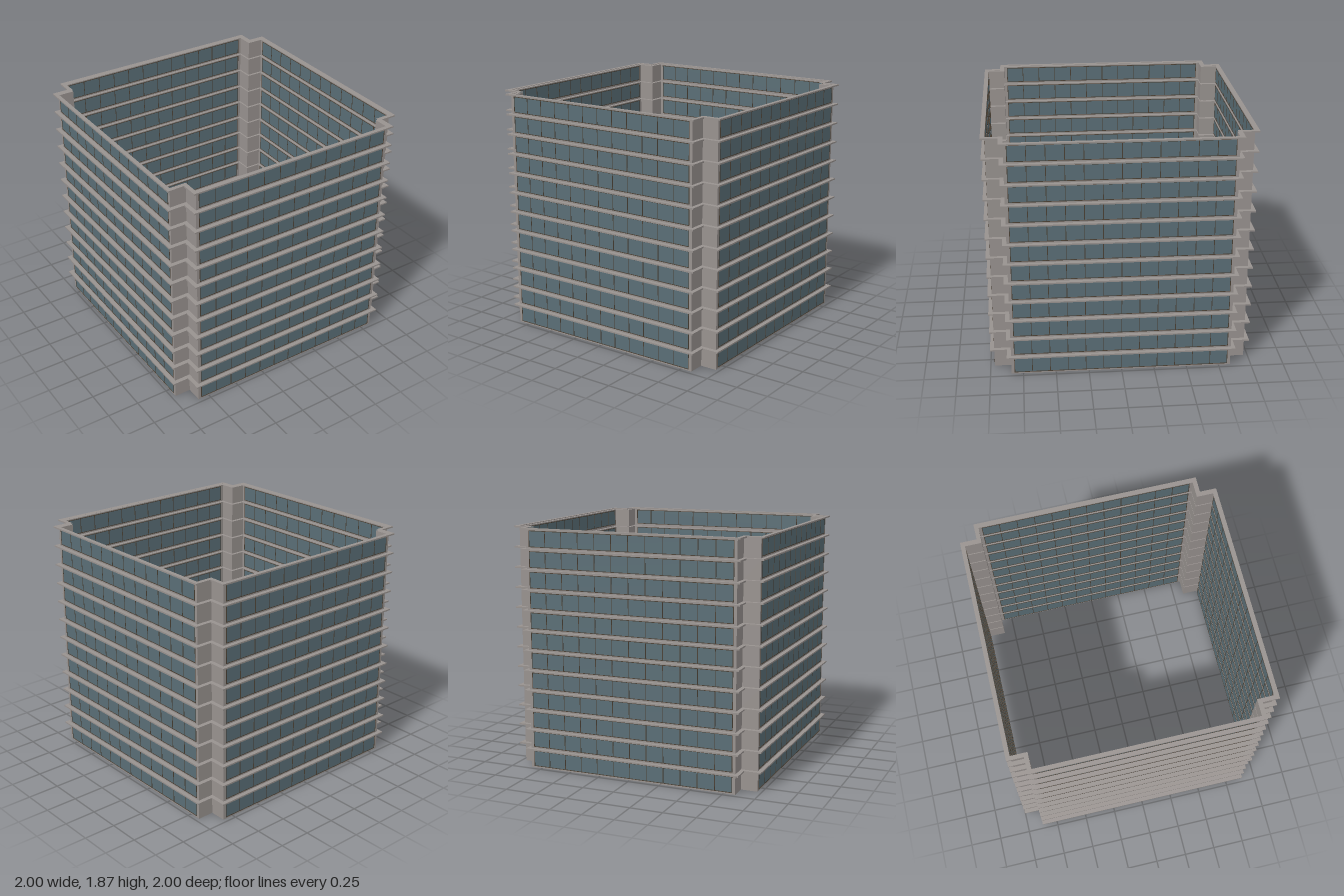
import * as THREE from 'three';

const FLOORS = 12, PITCH = 0.1555, LEDGE_H = 0.0115;
const FACE = 0.968, NOTCH = 0.84, OVERHANG = 0.032;
const WIN_X = 0.817, WIN_LOW = 0.011, WIN_HIGH = 0.136, PANES = 12;

const mat = (name, color) => new THREE.MeshStandardMaterial({ name, color, side: THREE.DoubleSide });

const rect = (Type, x0, y0, x1, y1) => new Type([
  new THREE.Vector2(x0, y0), new THREE.Vector2(x1, y0),
  new THREE.Vector2(x1, y1), new THREE.Vector2(x0, y1),
]);

// Square plan with a notched corner, grown outward by d
function outline(d) {
  const a = FACE + d, b = NOTCH + d, points = [];
  for (let i = 0; i < 4; i++) {
    for (const [x, z] of [[-b, a], [b, a], [b, b]]) {
      const p = new THREE.Vector2(x, z);
      for (let k = 0; k < i; k++) p.set(p.y, -p.x);
      points.push(p);
    }
  }
  return points;
}

// Skin through a list of [outward offset, height] rings
function sweepRings(rings) {
  const pos = [];
  for (let r = 0; r < rings.length - 1; r++) {
    const [d0, y0] = rings[r], [d1, y1] = rings[r + 1];
    const A = outline(d0), B = outline(d1);
    A.forEach((p, i) => {
      const j = (i + 1) % A.length;
      const a = [p.x, y0, p.y], b = [A[j].x, y0, A[j].y];
      const c = [B[j].x, y1, B[j].y], e = [B[i].x, y1, B[i].y];
      pos.push(...a, ...b, ...c, ...a, ...c, ...e);
    });
  }
  const g = new THREE.BufferGeometry();
  g.setAttribute('position', new THREE.Float32BufferAttribute(pos, 3));
  g.computeVertexNormals();
  return g;
}

export function createModel() {
  const wallMat = mat('warm grey wall', 0x98928f);
  const glassMat = mat('blue grey glass', 0x5a6e76);
  const frameMat = mat('dark brown frame', 0x4a4034);
  const wallTop = PITCH - LEDGE_H;

  // Facade panel with a long window opening
  const panel = rect(THREE.Shape, -NOTCH, 0, NOTCH, wallTop);
  panel.holes.push(rect(THREE.Path, -WIN_X, WIN_LOW, WIN_X, WIN_HIGH));
  const panelGeo = new THREE.ShapeGeometry(panel).translate(0, 0, FACE);

  // Window frame with one hole per pane
  const frame = rect(THREE.Shape, -WIN_X, WIN_LOW, WIN_X, WIN_HIGH);
  const step = 2 * WIN_X / PANES, bar = 0.0025;
  for (let i = 0; i < PANES; i++) {
    const x = -WIN_X + i * step;
    frame.holes.push(rect(THREE.Path, x + (i ? bar : 0.005), WIN_LOW + 0.005,
      x + step - (i < PANES - 1 ? bar : 0.005), WIN_HIGH - 0.005));
  }
  const frameGeo = new THREE.ExtrudeGeometry(frame, { depth: 0.004, bevelEnabled: false })
    .translate(0, 0, FACE - 0.002);

  const glassGeo = new THREE.PlaneGeometry(2 * WIN_X - 0.004, WIN_HIGH - WIN_LOW - 0.004)
    .translate(0, (WIN_LOW + WIN_HIGH) / 2, FACE);

  // Return wall of the corner notch
  const returnGeo = new THREE.PlaneGeometry(FACE - NOTCH, wallTop).rotateY(Math.PI / 2)
    .translate(NOTCH, wallTop / 2, (FACE + NOTCH) / 2);

  // Hollow ledge: underside, edge and top, open toward the inside
  const ledgeGeo = sweepRings([[0, wallTop], [OVERHANG, wallTop], [OVERHANG, PITCH], [0, PITCH]]);

  const model = new THREE.Group();
  model.name = 'towerFacade';
  for (let f = 0; f < FLOORS; f++) {
    const floor = new THREE.Group();
    floor.name = `floor${f + 1}`;
    floor.position.y = f * PITCH;
    const add = (parent, name, geo, material) => {
      const m = new THREE.Mesh(geo, material);
      m.name = name;
      parent.add(m);
      return m;
    };
    for (let s = 0; s < 4; s++) {
      const side = new THREE.Group();
      side.name = ['frontSide', 'leftSide', 'backSide', 'rightSide'][s];
      side.rotation.y = s * Math.PI / 2;
      add(side, 'wallPanel', panelGeo, wallMat);
      add(side, 'windowGlass', glassGeo, glassMat);
      add(side, 'windowFrame', frameGeo, frameMat);
      add(side, 'cornerReturnLeft', returnGeo, wallMat);
      add(side, 'cornerReturnRight', returnGeo, wallMat).rotation.y = Math.PI;
      // the opposite return belongs to this side's front edge
      side.children[4].position.z = FACE + NOTCH;
      floor.add(side);
    }
    add(floor, 'ledge', ledgeGeo, wallMat);
    model.add(floor);
  }
  return model;
}
